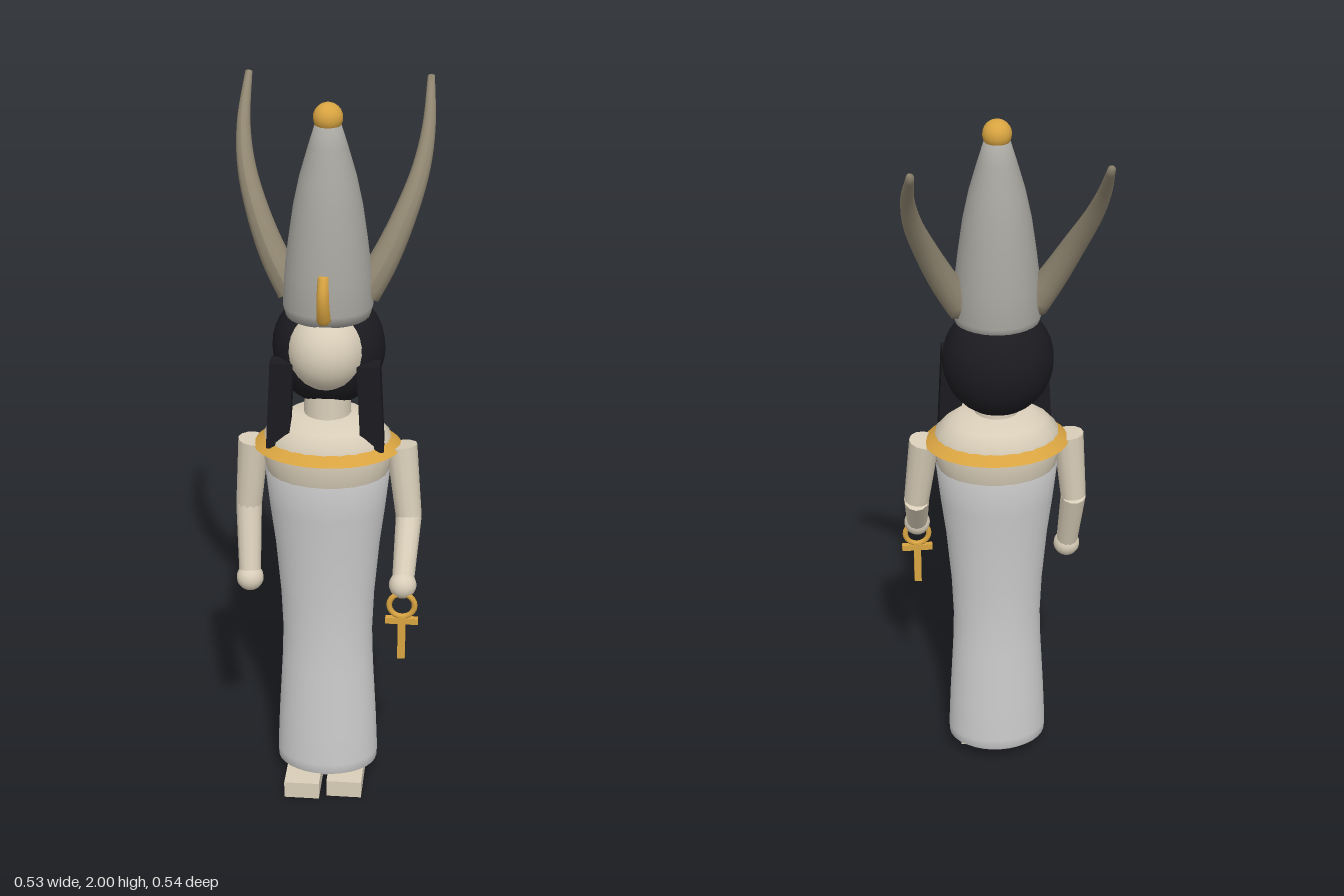
import * as THREE from 'three';

const mat = (color) => new THREE.MeshStandardMaterial({ color });
const V = (x, y, z) => new THREE.Vector3(x, y, z);

export function createModel() {
  const model = new THREE.Group();
  const skin = mat(0xd8cdb8), cloth = mat(0xcccccc), hatGrey = mat(0xa8a6a0);
  const black = mat(0x1b1b20), gold = mat(0xd9a441), hornTan = mat(0x8f8570);
  const bodyZ = 0.087, flat = 0.8;

  function add(name, geometry, material, x = 0, y = 0, z = 0) {
    const mesh = new THREE.Mesh(geometry, material);
    mesh.name = name;
    mesh.position.set(x, y, z);
    model.add(mesh);
    return mesh;
  }

  // Smooth turned shape from [radius, height] pairs
  const lathe = (pts, segments = 24) =>
    new THREE.LatheGeometry(pts.map(([r, y]) => new THREE.Vector2(r, y)), segments);

  // Tapered limb between two points
  function limb(name, a, b, ra, rb, material) {
    const mesh = add(name, new THREE.CylinderGeometry(rb, ra, a.distanceTo(b), 12), material);
    mesh.position.copy(a).add(b).multiplyScalar(0.5);
    mesh.quaternion.setFromUnitVectors(V(0, 1, 0), b.clone().sub(a).normalize());
  }

  // Tube along a curve whose radius runs from r0 to r1, with closed ends
  function taperedTube(points, r0, r1, segments, sides) {
    const curve = new THREE.CatmullRomCurve3(points);
    const g = new THREE.TubeGeometry(curve, segments, 1, sides);
    const pos = g.attributes.position, p = V(0, 0, 0);
    for (let i = 0; i < pos.count; i++) {
      const t = Math.floor(i / (sides + 1)) / segments;
      const c = curve.getPointAt(t);
      p.fromBufferAttribute(pos, i).sub(c).multiplyScalar(r0 + (r1 - r0) * t).add(c);
      pos.setXYZ(i, p.x, p.y, p.z);
    }
    const index = Array.from(g.index.array), last = segments * (sides + 1);
    for (let j = 1; j < sides - 1; j++) {
      index.push(0, j, j + 1, last, last + j + 1, last + j);
    }
    g.setIndex(index);
    g.computeVertexNormals();
    return g;
  }

  // Long dress
  const dress = add('dress', lathe([[0, 0.04], [0.13, 0.04], [0.143, 0.05], [0.145, 0.08], [0.14, 0.2],
    [0.13, 0.38], [0.127, 0.48], [0.132, 0.6], [0.146, 0.76], [0.16, 0.87], [0.172, 0.98], [0.15, 0.98]], 32),
    cloth, 0, 0, bodyZ);
  dress.scale.z = flat;
  dress.material.side = THREE.DoubleSide;

  // Torso, collar and neck
  const torso = add('torso', lathe([[0.14, 0.9], [0.167, 0.98], [0.18, 1.04], [0.172, 1.09],
    [0.14, 1.125], [0.1, 1.15], [0, 1.155]]), skin, 0, 0, bodyZ);
  torso.scale.z = flat;
  const collar = add('collar', new THREE.CylinderGeometry(0.172, 0.204, 0.026, 32), gold, 0, 1.068, bodyZ);
  collar.scale.z = flat;
  add('neck', new THREE.CylinderGeometry(0.06, 0.066, 0.15, 16), skin, 0, 1.19, bodyZ);

  // Head and hair
  const head = add('head', new THREE.SphereGeometry(0.115, 24, 16), skin, 0, 1.345, 0.11);
  head.scale.x = 0.93;
  const hair = add('hair', new THREE.SphereGeometry(1, 24, 18), black, 0, 1.327, 0.05);
  hair.scale.set(0.153, 0.162, 0.14);

  // Tall crown with its finial
  add('crown', lathe([[0, 1.43], [0.113, 1.43], [0.121, 1.46], [0.116, 1.55], [0.105, 1.64], [0.092, 1.73],
    [0.075, 1.81], [0.052, 1.89], [0.035, 1.945], [0, 1.95]], 28), hatGrey, 0, 0, 0.07);
  add('finial', new THREE.SphereGeometry(0.039, 18, 12), gold, 0, 1.965, 0.07);
  add('browOrnament', taperedTube([V(0, 1.455, 0.192), V(0, 1.49, 0.21), V(0, 1.535, 0.217),
    V(0, 1.58, 0.2)], 0.019, 0.014, 10, 10), gold);

  for (const s of [-1, 1]) {
    const side = s > 0 ? 'left' : 'right';

    // Sweeping horn
    add(side + 'Horn', taperedTube([V(s * 0.095, 1.485, 0.057), V(s * 0.145, 1.57, 0.035),
      V(s * 0.195, 1.68, -0.01), V(s * 0.232, 1.785, -0.075), V(s * 0.248, 1.88, -0.15),
      V(s * 0.247, 1.99, -0.262)], 0.045, 0.01, 24, 12), hornTan);

    // Hanging hair lock
    const lock = add(side + 'HairLock', new THREE.BoxGeometry(0.062, 0.25, 0.05), black,
      s * 0.122, 1.195, 0.148);
    lock.rotation.z = s * 0.05;

    // Arm, bent further forward on the side holding the charm
    const shoulder = V(s * 0.203, 1.06, 0.09);
    const elbow = s > 0 ? V(0.227, 0.855, 0.115) : V(-0.22, 0.86, 0.085);
    const hand = s > 0 ? V(0.22, 0.705, 0.235) : V(-0.212, 0.66, 0.148);
    limb(side + 'UpperArm', shoulder, elbow, 0.043, 0.036, skin);
    limb(side + 'Forearm', elbow, hand, 0.036, 0.03, skin);
    add(side + 'Hand', new THREE.SphereGeometry(0.038, 16, 12), skin, hand.x, hand.y, hand.z);

    // Foot, one a little ahead of the other
    add(side + 'Foot', new THREE.BoxGeometry(0.1, 0.05, 0.165), skin,
      s * 0.06, 0.025, s > 0 ? 0.155 : 0.172);
  }

  // Looped cross charm hanging from the left hand
  add('charmLoop', new THREE.TorusGeometry(0.035, 0.008, 8, 20), gold, 0.22, 0.653, 0.256);
  add('charmBar', new THREE.BoxGeometry(0.09, 0.018, 0.016), gold, 0.22, 0.606, 0.256);
  add('charmStem', new THREE.BoxGeometry(0.021, 0.13, 0.016), gold, 0.22, 0.553, 0.256);

  return model;
}
